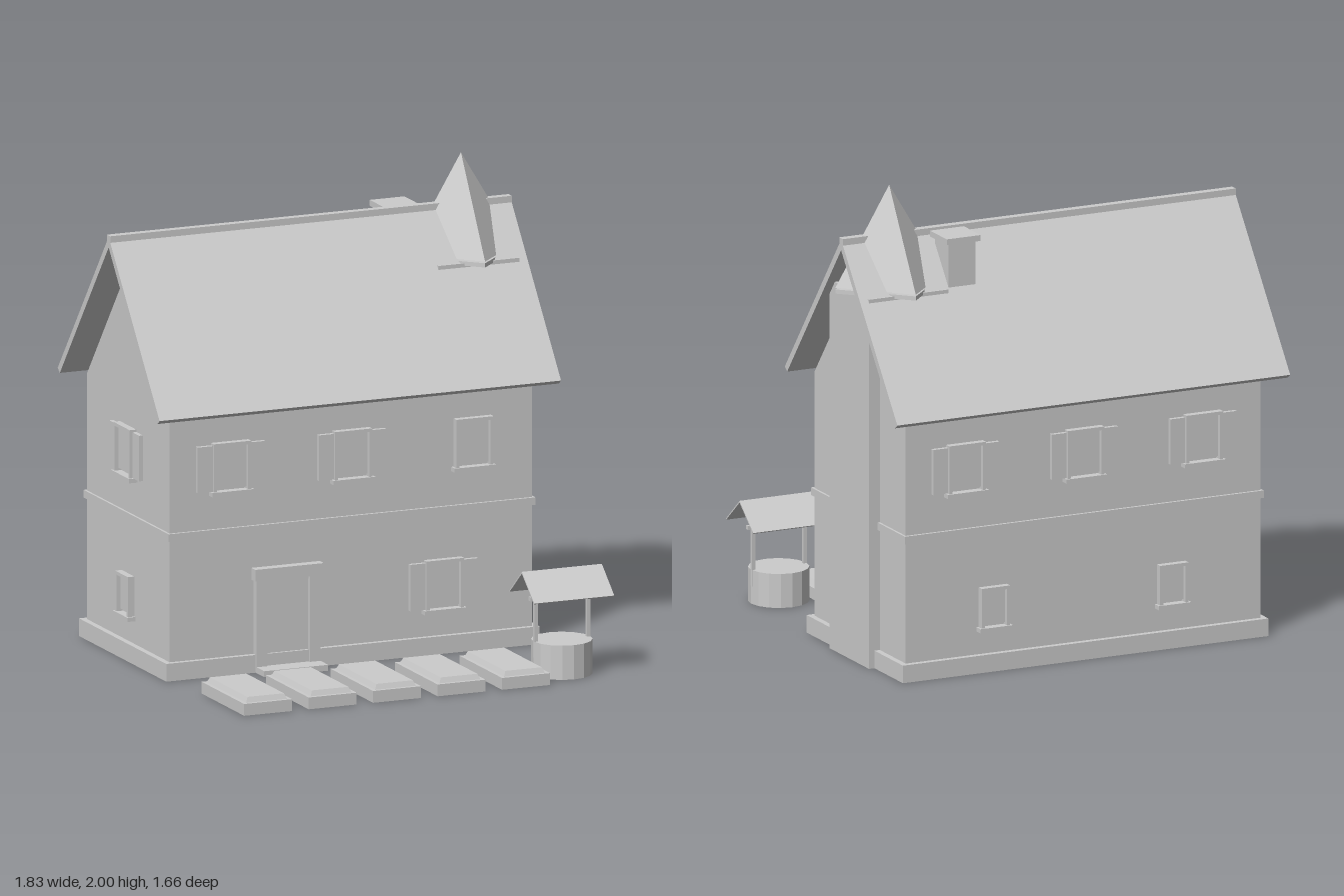
import * as THREE from 'three';

const stone = new THREE.MeshStandardMaterial({ color: 0xcccccc });
stone.name = 'light grey';

function add(parent, name, geometry) {
  const mesh = new THREE.Mesh(geometry, stone);
  mesh.name = name;
  parent.add(mesh);
  return mesh;
}

// Box from its minimum and maximum corners
function box(parent, name, [x0, y0, z0], [x1, y1, z1]) {
  const mesh = add(parent, name, new THREE.BoxGeometry(x1 - x0, y1 - y0, z1 - z0));
  mesh.position.set((x0 + x1) / 2, (y0 + y1) / 2, (z0 + z1) / 2);
  return mesh;
}

// Prism with a [z, y] profile, running along x
function prism(parent, name, points, x0, x1) {
  const shape = new THREE.Shape(points.map(([z, y]) => new THREE.Vector2(-z, y)));
  const geometry = new THREE.ExtrudeGeometry(shape, { depth: x1 - x0, bevelEnabled: false });
  geometry.rotateY(Math.PI / 2);
  geometry.translate(x0, 0, 0);
  return add(parent, name, geometry);
}

// Roof profile: mirrored slabs about z = mid
function chevron(mid, half, apex, eave, innerHalf, innerApex, innerEave) {
  return [[mid + half, eave], [mid, apex], [mid - half, eave],
    [mid - innerHalf, innerEave], [mid, innerApex], [mid + innerHalf, innerEave]];
}

// Window facing +z, wall plane at z = 0
function makeWindow(parent, x, y0, z, turn, w, h, shutters) {
  const g = new THREE.Group();
  g.name = 'window';
  const a = w / 2, t = 0.014;
  box(g, 'windowPane', [-a + t, t, -0.01], [a - t, h - t, 0.012]);
  for (const s of [-1, 1]) {
    const c = s * (a - t / 2);
    box(g, 'windowJamb', [c - t / 2, 0, -0.01], [c + t / 2, h, 0.03]);
    if (shutters) {
      const m = s * (a + 0.034);
      box(g, 'shutter', [m - 0.034, 0.005, -0.01], [m + 0.034, h - 0.01, 0.018]);
    }
  }
  box(g, 'windowHead', [-a + t, h - t, -0.01], [a - t, h, 0.03]);
  box(g, 'windowSill', [-a - 0.01, -0.014, -0.01], [a + 0.01, 0.004, 0.037]);
  g.position.set(x, y0, z);
  g.rotation.y = turn;
  parent.add(g);
}

function makeHouse() {
  const g = new THREE.Group();
  g.name = 'house';
  const mid = -0.31, front = 0.115, back = -0.732, left = -0.83, right = 0.8;

  // Walls, plinth and floor band
  box(g, 'plinth', [left - 0.025, 0, back - 0.025], [right + 0.025, 0.075, front + 0.022]);
  box(g, 'walls', [left, 0.05, back], [right, 1.115, front]);
  box(g, 'floorBand', [left - 0.01, 0.588, back - 0.012], [right + 0.01, 0.62, front + 0.012]);
  prism(g, 'gable', [[front, 1.115], [mid, 1.655], [back, 1.115]], left, right);

  // Roof and ridge
  prism(g, 'roof', chevron(mid, 0.522, 1.792, 1.125, 0.5, 1.747, 1.108), -0.918, 0.888);
  box(g, 'ridgeCap', [-0.918, 1.768, mid - 0.017], [0.888, 1.798, mid + 0.017]);

  // Tower with its four-sided spire
  box(g, 'tower', [0.485, 0, -0.492], [0.85, 1.575, -0.127]);
  const eave = add(g, 'spireEave', new THREE.CylinderGeometry(0.247, 0.247, 0.018, 4).toNonIndexed());
  eave.position.set(0.667, 1.574, mid);
  eave.geometry.computeVertexNormals();
  const spire = add(g, 'spire', new THREE.ConeGeometry(0.247, 0.41, 4).toNonIndexed());
  spire.position.set(0.667, 1.795, mid);
  spire.geometry.computeVertexNormals();

  // Chimney
  box(g, 'chimneyShaft', [0.353, 1.35, -0.477], [0.477, 1.768, -0.353]);
  box(g, 'chimneyCap', [0.337, 1.765, -0.493], [0.493, 1.79, -0.337]);

  // Upper windows, front and back
  [-0.56, -0.015, 0.53].forEach((x, i) => {
    makeWindow(g, x, 0.778, front, 0, 0.168, 0.208, i < 2);
    makeWindow(g, x, 0.778, back, Math.PI, 0.168, 0.208, true);
  });
  // Lower windows
  makeWindow(g, 0.397, 0.187, front, 0, 0.168, 0.212, true);
  for (const x of [-0.42, 0.4]) makeWindow(g, x, 0.187, back, Math.PI, 0.13, 0.173, false);
  // Windows of the left-hand gable wall
  makeWindow(g, left, 0.778, mid, -Math.PI / 2, 0.168, 0.208, true);
  makeWindow(g, left, 0.187, mid, -Math.PI / 2, 0.13, 0.173, false);

  // Door with surround and step
  const door = new THREE.Group();
  door.name = 'door';
  door.position.set(-0.309, 0, front);
  g.add(door);
  box(door, 'doorLeaf', [-0.098, 0.025, -0.02], [0.098, 0.39, 0.01]);
  box(door, 'doorRail', [-0.098, 0.375, 0], [0.098, 0.39, 0.018]);
  for (const s of [-1, 1]) {
    box(door, 'doorPost', [s * 0.12 - 0.024, 0.02, -0.01], [s * 0.12 + 0.024, 0.39, 0.032]);
  }
  box(door, 'doorLintel', [-0.154, 0.39, -0.01], [0.154, 0.44, 0.042]);
  box(door, 'doorStep', [-0.144, 0, 0], [0.144, 0.025, 0.11]);
  return g;
}

// Garden bed: slab with a raised, bevelled top
function makeBed(x) {
  const g = new THREE.Group();
  g.name = 'gardenBed';
  box(g, 'bedBase', [-0.108, 0, -0.218], [0.108, 0.05, 0.218]);
  const top = new THREE.BoxGeometry(0.184, 0.022, 0.404).toNonIndexed();
  const p = top.attributes.position;
  for (let i = 0; i < p.count; i++) {
    if (p.getY(i) > 0) {
      p.setX(i, p.getX(i) - Math.sign(p.getX(i)) * 0.01);
      p.setZ(i, p.getZ(i) - Math.sign(p.getZ(i)) * 0.01);
    }
  }
  top.computeVertexNormals();
  add(g, 'bedTop', top).position.y = 0.061;
  g.position.set(x, 0, 0.608);
  return g;
}

function makeWell() {
  const g = new THREE.Group();
  g.name = 'well';
  const drum = add(g, 'wellDrum', new THREE.CylinderGeometry(0.127, 0.127, 0.145, 16).toNonIndexed());
  drum.geometry.computeVertexNormals();
  drum.position.y = 0.0725;
  for (const s of [-1, 1]) {
    box(g, 'wellPost', [s * 0.118 - 0.008, 0.075, -0.008], [s * 0.118 + 0.008, 0.335, 0.008]);
  }
  box(g, 'wellCrossbar', [-0.145, 0.318, -0.009], [0.145, 0.335, 0.009]);
  prism(g, 'wellRoof', chevron(0, 0.128, 0.445, 0.338, 0.125, 0.437, 0.334), -0.18, 0.18);
  g.position.set(0.7, 0, 0.648);
  return g;
}

export function createModel() {
  const model = new THREE.Group();
  model.name = 'cottage';
  model.add(makeHouse(), makeWell());
  for (let i = 0; i < 5; i++) model.add(makeBed(-0.699 + i * 0.29));
  return model;
}
